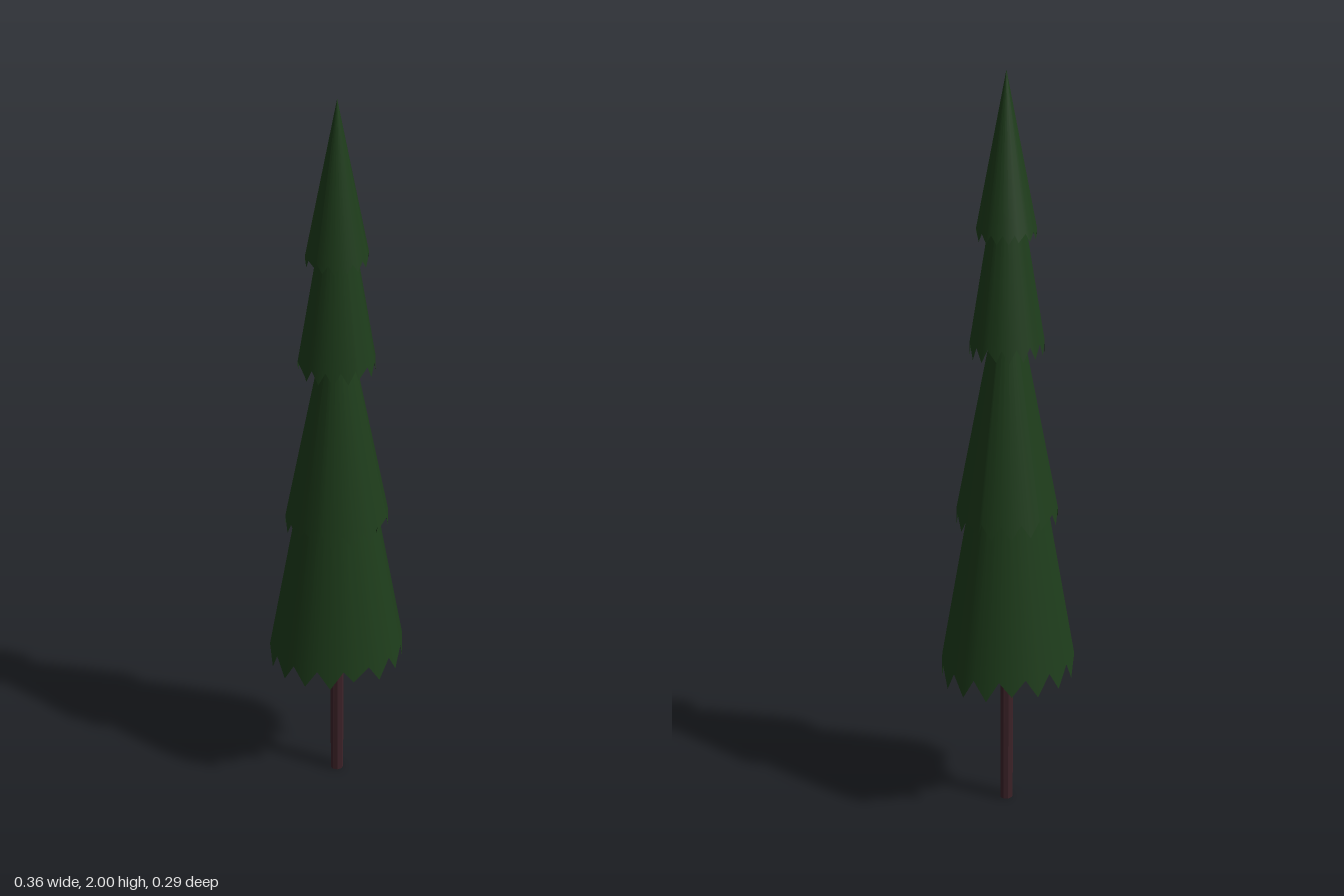
import * as THREE from 'three';

const SIDES = 32; // one tooth on every second corner of the hem

// Elliptical cone skirt with a jagged hem; teeth listed in "tucked" bend inward
function makeTier({ name, tip, notch, apex, rx, rz, z, tucked }, material) {
  const height = apex - notch;
  const geometry = new THREE.ConeGeometry(1, 1, SIDES, 1, true);
  geometry.scale(rx, height, rz);
  geometry.translate(0, notch + height / 2, 0);
  const pos = geometry.attributes.position;
  for (let i = 0; i <= SIDES; i++) {
    const v = pos.count - 1 - SIDES + i; // hem row
    if (i % 2 === 0) continue;
    const k = tucked.includes((i - 1) / 2) ? 0.86 : 1;
    pos.setXYZ(v, pos.getX(v) * k, tip, pos.getZ(v) * k);
  }
  const mesh = new THREE.Mesh(geometry, material);
  mesh.name = name;
  mesh.position.z = z;
  return mesh;
}

export function createModel() {
  const group = new THREE.Group();
  group.name = 'conifer';
  const needles = new THREE.MeshStandardMaterial({ color: 0x1e3d1b, side: THREE.DoubleSide });
  const bark = new THREE.MeshStandardMaterial({ color: 0x3d2329, flatShading: true });

  // Foliage tiers, bottom to top
  const tiers = [
    { name: 'lowerFoliage', tip: 0.415, notch: 0.475, apex: 1.5, rx: 0.181, rz: 0.143, z: 0, tucked: [0, 7, 11] },
    { name: 'middleFoliage', tip: 0.865, notch: 0.905, apex: 1.58, rx: 0.132, rz: 0.112, z: 0.008, tucked: [2, 5, 9, 14] },
    { name: 'upperFoliage', tip: 1.32, notch: 1.355, apex: 1.91, rx: 0.094, rz: 0.071, z: 0.008, tucked: [1, 6, 12] },
    { name: 'topFoliage', tip: 1.61, notch: 1.632, apex: 2, rx: 0.074, rz: 0.061, z: 0.013, tucked: [3, 8, 13] },
  ];
  for (const tier of tiers) group.add(makeTier(tier, needles));

  // Slim trunk, slightly flattened and tapering front to back
  const trunkTop = 0.9;
  const trunkGeometry = new THREE.CylinderGeometry(0.018, 0.018, trunkTop, 8);
  trunkGeometry.translate(0, trunkTop / 2, 0);
  const pos = trunkGeometry.attributes.position;
  for (let i = 0; i < pos.count; i++) {
    const t = pos.getY(i) / trunkTop;
    pos.setZ(i, pos.getZ(i) * (0.8 - 0.2 * t) + 0.015 - 0.006 * t);
  }
  trunkGeometry.computeVertexNormals();
  const trunk = new THREE.Mesh(trunkGeometry, bark);
  trunk.name = 'trunk';
  group.add(trunk);

  return group;
}
